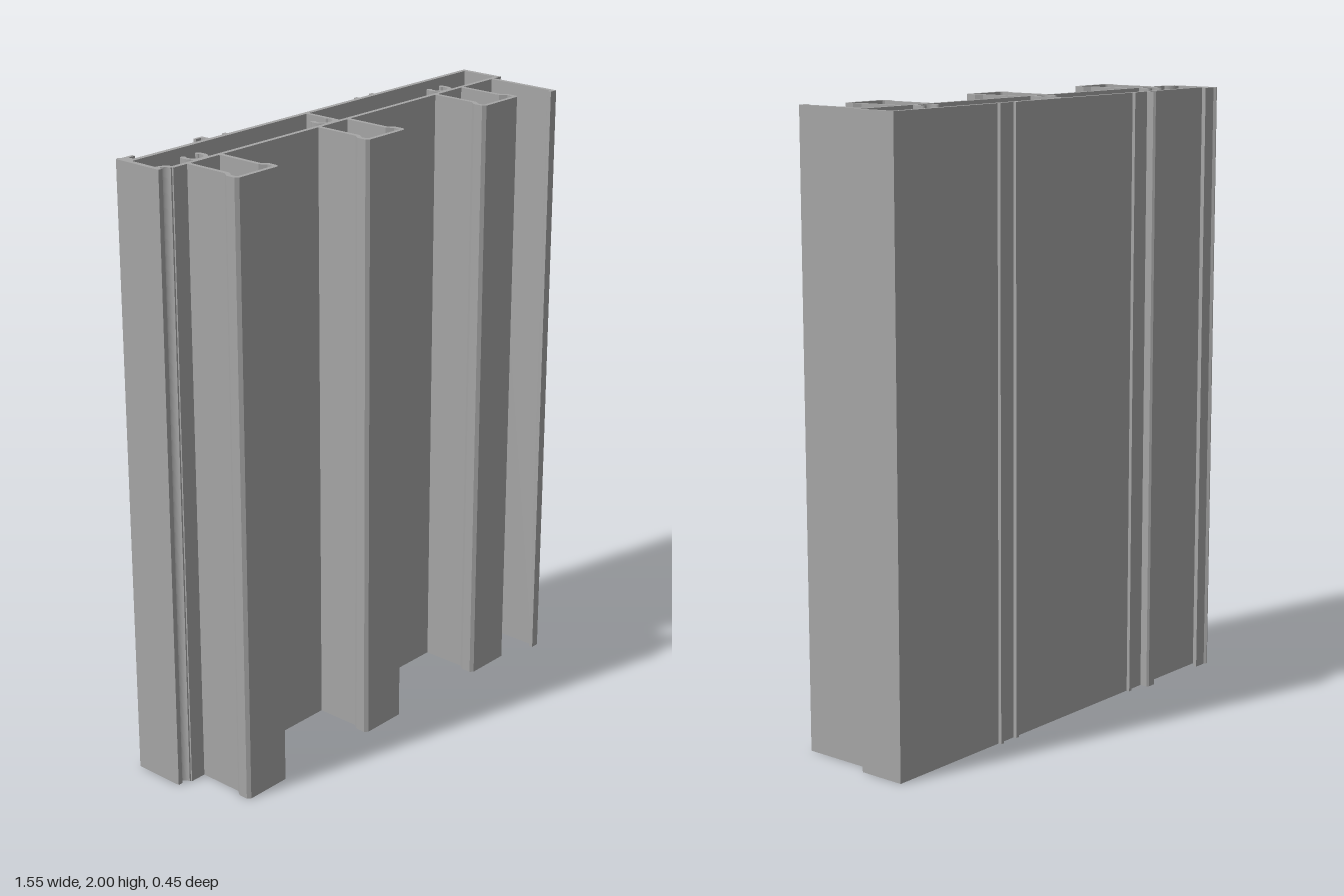
import * as THREE from 'three';

const LENGTH = 2;

// Extrudes a plan section, drawn as (x, -z), upwards along y.
function extrude(shape) {
  const geometry = new THREE.ExtrudeGeometry(shape, { depth: LENGTH, bevelEnabled: false, curveSegments: 14 });
  return geometry.rotateX(-Math.PI / 2);
}

// Closed outline from [x, z] points.
const outline = (points) => new THREE.Shape(points.map(([x, z]) => new THREE.Vector2(x, -z)));

const rect = (x0, x1, z0, z1) => outline([[x0, z0], [x0, z1], [x1, z1], [x1, z0]]);

// Ring sector; angles in degrees, 90 points to the back.
function ring(x, z, inner, outer, from, to) {
  const a = THREE.MathUtils.degToRad(from), b = THREE.MathUtils.degToRad(to);
  const shape = new THREE.Shape();
  shape.absarc(x, -z, outer, a, b, false);
  shape.absarc(x, -z, inner, b, a, true);
  shape.closePath();
  return shape;
}

function disc(x, z, r) {
  const shape = new THREE.Shape();
  shape.absarc(x, -z, r, 0, Math.PI * 2, false);
  return shape;
}

export function createModel() {
  const model = new THREE.Group();
  const aluminium = new THREE.MeshStandardMaterial({ color: 0xa6a6a6 });
  aluminium.name = 'aluminium';

  const add = (name, ...shapes) => {
    const group = new THREE.Group();
    group.name = name;
    for (const shape of shapes) {
      const mesh = new THREE.Mesh(extrude(shape), aluminium);
      mesh.name = name + 'Section';
      group.add(mesh);
    }
    model.add(group);
  };

  // Hollow box body
  add('backPlate', rect(-0.758, 0.774, -0.186, -0.17));
  add('frontPlate', rect(-0.73, 0.758, -0.045, -0.03));
  add('leftWall', rect(0.758, 0.774, -0.17, -0.03));
  add('rightWall', rect(-0.774, -0.758, -0.215, -0.045));
  add('innerWeb', rect(-0.02, -0.007, -0.17, -0.045));
  add('cornerGroove', ring(-0.758, -0.035, 0.023, 0.04, 0, 98));

  // Hooked lip on the back corner
  add('cornerLip', outline([
    [-0.774, -0.22], [-0.774, -0.205], [-0.758, -0.205], [-0.758, -0.186], [-0.737, -0.186],
    [-0.737, -0.206], [-0.713, -0.206], [-0.713, -0.217], [-0.758, -0.217], [-0.764, -0.225],
  ]));

  // Small hook and ribs on the back plate
  add('backHook', outline([
    [-0.464, -0.217], [-0.464, -0.207], [-0.442, -0.207], [-0.442, -0.186],
    [-0.429, -0.186], [-0.429, -0.211], [-0.435, -0.217],
  ]));
  [-0.358, 0.238, 0.312].forEach((x, i) =>
    add('backRib' + (i + 1), rect(x - 0.007, x + 0.007, -0.197, -0.186)));

  // Three flared channels on the front, each with a screw boss behind it
  const outerHalf = [[0.073, -0.03], [0.073, 0.12], [0.088, 0.14], [0.088, 0.172], [0.078, 0.182]];
  const innerHalf = [[0.059, -0.03], [0.059, 0.125], [0.074, 0.146], [0.074, 0.163], [0.07, 0.168]];
  const mirror = (points) => points.map(([x, z]) => [-x, z]).reverse();
  const section = [...outerHalf, ...mirror(outerHalf), ...mirror(innerHalf).reverse(), ...[...innerHalf].reverse()];
  [-0.602, -0.047, 0.508].forEach((cx, i) => {
    add('channel' + (i + 1), outline(section.map(([x, z]) => [x + cx, z])));
    const tip = THREE.MathUtils.degToRad(25), dx = 0.034 * Math.cos(tip), dz = 0.034 * Math.sin(tip);
    add('screwBoss' + (i + 1),
      ring(cx, -0.075, 0.027, 0.041, 155, 385),
      disc(cx - dx, -0.075 - dz, 0.009),
      disc(cx + dx, -0.075 - dz, 0.009));
  });

  // Long side flange with a small toe
  add('sideFlange', outline([
    [0.725, -0.03], [0.725, 0.208], [0.712, 0.208], [0.712, 0.222], [0.74, 0.222], [0.74, -0.03],
  ]));

  return model;
}
